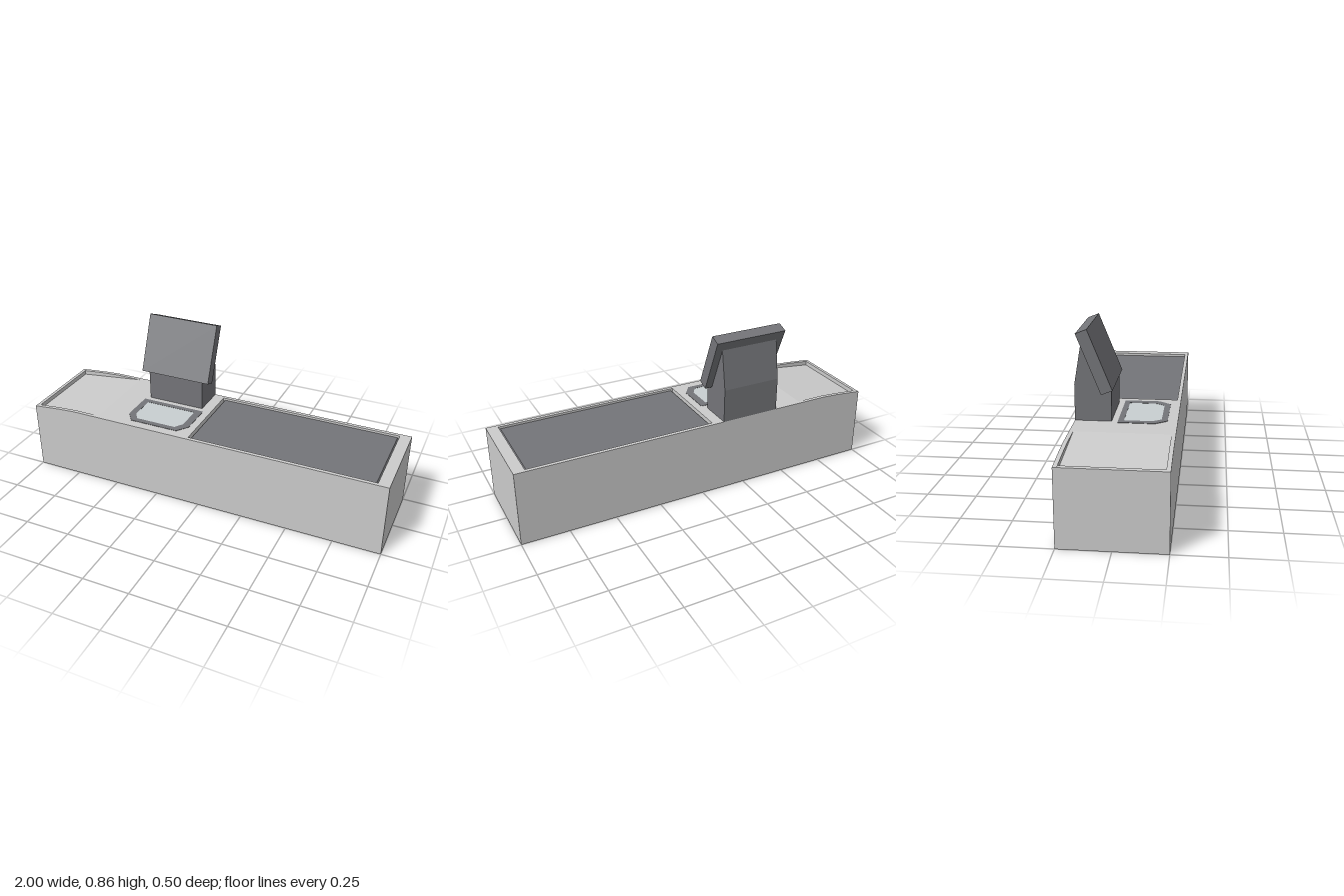
import * as THREE from 'three';

const grey = new THREE.MeshStandardMaterial({ color: 0xcccccc });
const dark = new THREE.MeshStandardMaterial({ color: 0x747579 });
const glass = new THREE.MeshStandardMaterial({ color: 0xc8cfd1 });

const toShape = (pts) => new THREE.Shape(pts.map(([x, y]) => new THREE.Vector2(x, y)));
const extrude = (shape, depth) => new THREE.ExtrudeGeometry(shape, { depth, bevelEnabled: false });

function named(geometry, material, name) {
  const mesh = new THREE.Mesh(geometry, material);
  mesh.name = name;
  return mesh;
}

// Front profile (x, y) swept from z0 to z1
const alongZ = (pts, z0, z1) => extrude(toShape(pts), z1 - z0).translate(0, 0, z0);

// Side profile (z, y) swept from x0 to x1
const alongX = (pts, x0, x1) => extrude(toShape(pts), x1 - x0).rotateY(-Math.PI / 2).translate(x1, 0, 0);

// Plan outline with the two front corners cut, drawn as (x, -z)
const windowOutline = (x0, x1, zBack, zFront, cutX, cutZ) => [
  [x0, -zBack], [x0, -zFront + cutZ], [x0 + cutX, -zFront],
  [x1 - cutX, -zFront], [x1, -zFront + cutZ], [x1, -zBack],
];
const flat = (shape, y0, y1) => extrude(shape, y1 - y0).rotateX(-Math.PI / 2).translate(0, y0, 0);

export function createModel() {
  const model = new THREE.Group();
  model.name = 'checkoutCounter';

  // Cabinet: long side walls with a dipped end, and the blocks between them
  const body = new THREE.Group();
  body.name = 'counterBody';
  const wall = [[-1, 0], [1, 0], [1, 0.4], [-0.75, 0.4], [-0.85, 0.394], [-1, 0.38]];
  body.add(named(alongZ(wall, 0.23, 0.25), grey, 'frontWall'));
  body.add(named(alongZ(wall, -0.25, -0.23), grey, 'backWall'));
  const deck = [
    [-1, 0], [-0.06, 0], [-0.06, 0.4], [-0.6, 0.4],
    [-0.98, 0.358], [-0.98, 0.3815], [-1, 0.38],
  ];
  body.add(named(alongZ(deck, -0.23, 0.23), grey, 'deckAndBaggingRamp'));
  body.add(named(alongZ([[0.94, 0], [1, 0], [1, 0.4], [0.94, 0.4]], -0.23, 0.23), grey, 'endBlock'));
  model.add(body);

  // Conveyor belt, sunk a little below the rim with bevelled ends
  const belt = [
    [-0.06, 0], [0.94, 0], [0.94, 0.37], [0.93, 0.388], [-0.05, 0.388], [-0.06, 0.37],
  ];
  model.add(named(alongZ(belt, -0.23, 0.23), dark, 'conveyorBelt'));

  // Scanner: dark frame around a glass plate
  const frame = toShape(windowOutline(-0.46, -0.1, -0.04, 0.2, 0.045, 0.06));
  const pane = windowOutline(-0.425, -0.14, -0.012, 0.17, 0.03, 0.045);
  frame.holes.push(new THREE.Path(pane.map(([x, y]) => new THREE.Vector2(x, y))));
  model.add(named(flat(frame, 0.39, 0.402), dark, 'scannerFrame'));
  model.add(named(flat(toShape(pane), 0.39, 0.401), glass, 'scannerGlass'));

  // Monitor: wedge stand and tilted screen
  const stand = [[-0.07, 0.4], [-0.07, 0.56], [-0.205, 0.79], [-0.215, 0.79], [-0.25, 0.58], [-0.25, 0.4]];
  model.add(named(alongX(stand, -0.44, -0.12), dark, 'monitorStand'));
  const screen = [[-0.06, 0.565], [-0.115, 0.543], [-0.235, 0.838], [-0.18, 0.86]];
  model.add(named(alongX(screen, -0.48, -0.08), dark, 'monitorScreen'));

  return model;
}
